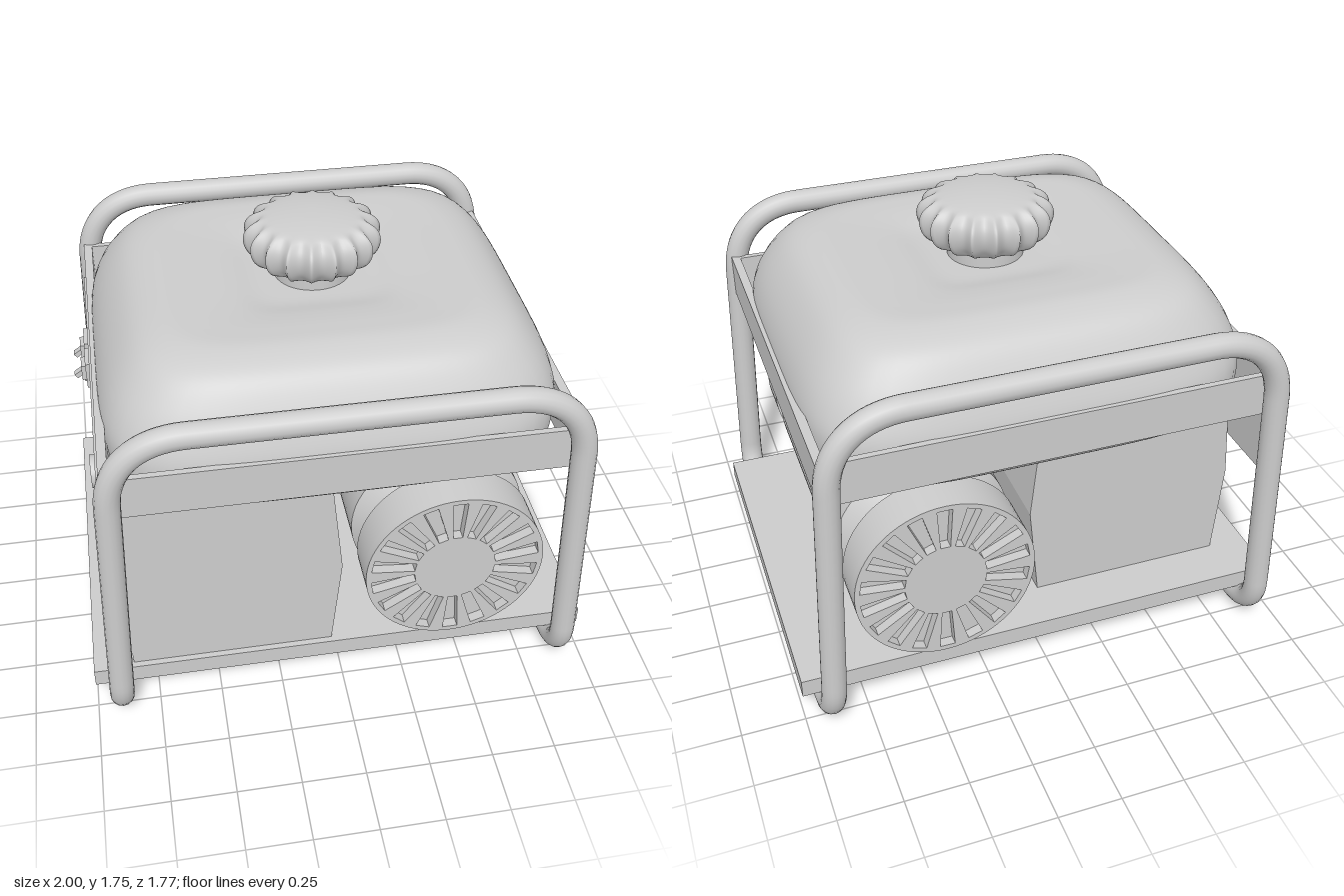
import * as THREE from 'three';
import { toCreasedNormals } from 'three/addons/utils/BufferGeometryUtils.js';

const V = (x, y, z) => new THREE.Vector3(x, y, z);

// Closed path with rounded corners; each entry is [corner, rounding length]
function roundedLoop(corners) {
  const path = new THREE.CurvePath();
  const n = corners.length;
  const toward = (a, b, d) => a.clone().add(b.clone().sub(a).setLength(d));
  const ends = corners.map(([p, d], i) => ({
    inn: toward(p, corners[(i + n - 1) % n][0], d),
    out: toward(p, corners[(i + 1) % n][0], d),
    p,
  }));
  ends.forEach((e, i) => {
    path.add(new THREE.CubicBezierCurve3(e.inn, e.inn.clone().lerp(e.p, 0.62), e.out.clone().lerp(e.p, 0.62), e.out));
    path.add(new THREE.LineCurve3(e.out, ends[(i + 1) % n].inn));
  });
  return path;
}

// Smooth shell through rounded-square rings given as (half width, height, half depth)
function ringShell(points, steps, segs, power) {
  const rings = new THREE.CatmullRomCurve3(points, false, 'centripetal').getPoints(steps);
  const pos = [], idx = [];
  for (const ring of rings) {
    for (let j = 0; j < segs; j++) {
      const t = (j / segs) * Math.PI * 2, c = Math.cos(t), s = Math.sin(t);
      const r = Math.pow(Math.abs(c) ** power + Math.abs(s) ** power, -1 / power);
      pos.push(ring.x * r * c, ring.y, ring.z * r * s);
    }
  }
  for (let i = 0; i < rings.length - 1; i++) {
    for (let j = 0; j < segs; j++) {
      const k = (j + 1) % segs;
      const a = i * segs + j, b = a + segs, c = i * segs + k, d = c + segs;
      idx.push(a, b, c, b, d, c);
    }
  }
  const geo = new THREE.BufferGeometry();
  geo.setAttribute('position', new THREE.Float32BufferAttribute(pos, 3));
  geo.setIndex(idx);
  geo.computeVertexNormals();
  return geo;
}

export function createModel() {
  const model = new THREE.Group();
  model.name = 'portableGenerator';
  const grey = new THREE.MeshStandardMaterial({ color: 0xcccccc });
  grey.name = 'grey';

  const add = (name, geo, x = 0, y = 0, z = 0, parent = model) => {
    const mesh = new THREE.Mesh(geo, grey);
    mesh.name = name;
    mesh.position.set(x, y, z);
    parent.add(mesh);
    return mesh;
  };
  // Box given by its limits on each axis
  const block = (name, x0, x1, y0, y1, z0, z1) =>
    add(name, new THREE.BoxGeometry(x1 - x0, y1 - y0, z1 - z0), (x0 + x1) / 2, (y0 + y1) / 2, (z0 + z1) / 2);

  // Tubular frame: two arches joined by the ground runners
  const frame = roundedLoop([
    [V(0.9, 0.05, 0.835), 0.18], [V(0.85, 1.425, 0.835), 0.28],
    [V(-0.85, 1.425, 0.835), 0.28], [V(-0.9, 0.05, 0.835), 0.18],
    [V(-0.9, 0.05, -0.835), 0.18], [V(-0.85, 1.425, -0.835), 0.28],
    [V(0.85, 1.425, -0.835), 0.28], [V(0.9, 0.05, -0.835), 0.18],
  ]);
  add('tubeFrame', new THREE.TubeGeometry(frame, 400, 0.048, 16, true));

  block('basePlate', -1, 1, 0.11, 0.185, -0.735, 0.735);

  // Rails around the tank
  for (const s of [-1, 1]) {
    add('crossRail', new THREE.BoxGeometry(1.74, 0.175, 0.025), 0, 1.1375, s * 0.785);
    add('sideRail', new THREE.BoxGeometry(0.035, 0.175, 1.595), s * 0.865, 1.1375, 0);
  }

  // Fuel tank with a shallow dip under the filler
  add('fuelTank', ringShell([
    V(0, 0.975, 0), V(0.55, 0.975, 0.5), V(0.72, 0.98, 0.66), V(0.81, 1.0, 0.745),
    V(0.85, 1.06, 0.783), V(0.868, 1.2, 0.785), V(0.845, 1.3, 0.755), V(0.79, 1.4, 0.705),
    V(0.71, 1.485, 0.635), V(0.61, 1.527, 0.53), V(0.5, 1.53, 0.43), V(0.33, 1.52, 0.32),
    V(0.23, 1.503, 0.23), V(0.15, 1.5, 0.15), V(0, 1.5, 0),
  ], 84, 96, 5));

  // Filler neck and scalloped cap
  add('fillerNeck', new THREE.CylinderGeometry(0.15, 0.15, 0.09, 40), 0, 1.535, 0);
  const capProfile = new THREE.SplineCurve([
    [0.14, 1.56], [0.2, 1.565], [0.245, 1.6], [0.264, 1.65], [0.255, 1.695],
    [0.215, 1.728], [0.15, 1.744], [0.07, 1.753], [0, 1.755],
  ].map(p => new THREE.Vector2(...p))).getPoints(32);
  capProfile.forEach(p => { p.x = Math.max(p.x, 0); });
  const cap = new THREE.LatheGeometry([new THREE.Vector2(0, 1.56), ...capProfile], 180);
  const cp = cap.attributes.position;
  for (let i = 0; i < cp.count; i++) {
    const x = cp.getX(i), z = cp.getZ(i), r = Math.hypot(x, z);
    const k = 1 - 0.13 * THREE.MathUtils.smoothstep(r, 0.16, 0.24) * Math.abs(Math.sin(9 * Math.atan2(z, x)));
    cp.setX(i, x * k);
    cp.setZ(i, z * k);
  }
  cap.computeVertexNormals();
  add('fuelCap', cap);

  // Alternator drum lying along z
  const alternator = new THREE.Group();
  alternator.name = 'alternator';
  alternator.position.set(0.43, 0.58, 0);
  model.add(alternator);
  const drum = new THREE.LatheGeometry([
    [0, -0.63], [0.285, -0.63], [0.285, -0.6], [0.27, -0.57], [0.352, -0.49],
    [0.352, 0.49], [0.27, 0.57], [0.285, 0.6], [0.285, 0.63], [0, 0.63],
  ].map(p => new THREE.Vector2(...p)), 64);
  drum.rotateX(Math.PI / 2);
  add('drum', toCreasedNormals(drum, 0.5), 0, 0, 0, alternator);

  // Slotted end covers, same front and back
  const grille = new THREE.Shape();
  grille.absarc(0, 0, 0.353, 0, Math.PI * 2);
  for (let i = 0; i < 18; i++) {
    const a = Math.PI / 2 + (i * Math.PI) / 9, c = Math.cos(a), s = Math.sin(a);
    const slot = [[0.16, -0.019], [0.332, -0.03], [0.332, 0.03], [0.16, 0.019]]
      .map(([u, v]) => new THREE.Vector2(u * c - v * s, u * s + v * c));
    grille.holes.push(new THREE.Path(slot));
  }
  const grilleGeo = toCreasedNormals(
    new THREE.ExtrudeGeometry(grille, { depth: 0.04, bevelEnabled: false, curveSegments: 36 }), 0.5);
  const coverGeo = new THREE.CylinderGeometry(0.353, 0.353, 0.135, 72).rotateX(Math.PI / 2);
  for (const turn of [0, Math.PI]) {
    const end = new THREE.Group();
    end.name = 'endCover';
    end.rotation.y = turn;
    alternator.add(end);
    add('coverDrum', coverGeo, 0, 0, 0.6825, end);
    add('coverGrille', grilleGeo, 0, 0, 0.75, end);
  }

  // Mounting plates above and below the drum
  for (const x of [0.2, 0.65])
    for (const z of [-0.365, 0.365]) {
      block('lowerMount', x - 0.024, x + 0.024, 0.185, 0.33, z - 0.122, z + 0.122);
      block('upperMount', x - 0.024, x + 0.024, 0.83, 1.0, z - 0.122, z + 0.122);
    }

  // Engine housing with pointed sides
  const housing = new THREE.Shape([
    [-0.84, 0.185], [-0.04, 0.185], [0, 0.585], [-0.04, 0.985], [-0.84, 0.985], [-0.87, 0.585],
  ].map(p => new THREE.Vector2(...p)));
  add('engineHousing', new THREE.ExtrudeGeometry(housing, { depth: 1.25, bevelEnabled: false }), 0, 0, -0.54);

  // Control panel with sockets, button and gauge
  block('controlPanel', -0.9, -0.865, 0.77, 1.06, -0.79, 0.79);
  for (const z of [-0.46, -0.31]) {
    block('socketPlate', -0.922, -0.9, 0.85, 0.97, z - 0.06, z + 0.06);
    block('socketBody', -0.94, -0.92, 0.875, 0.945, z - 0.035, z + 0.035);
    const lever = add('socketLever', new THREE.BoxGeometry(0.05, 0.022, 0.03), -0.945, 0.895, z);
    lever.rotation.z = 0.6;
  }
  const dial = (name, r, depth, y, z) =>
    add(name, new THREE.CylinderGeometry(r, r, depth, 32).rotateZ(Math.PI / 2), -0.9 - depth / 2, y, z);
  dial('resetButton', 0.024, 0.035, 0.815, -0.385);
  dial('gauge', 0.065, 0.025, 0.885, 0.335);

  return model;
}
